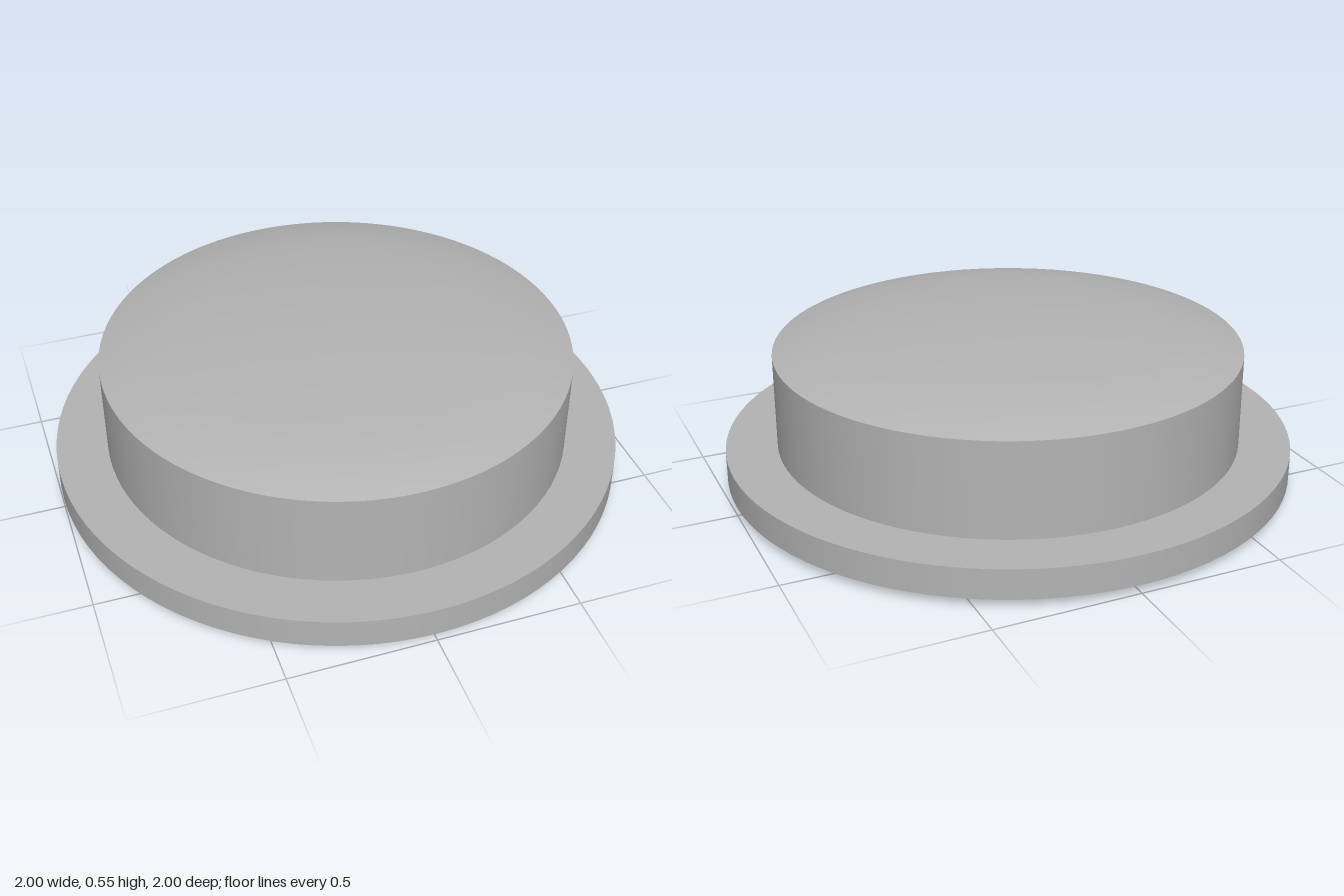
import * as THREE from 'three';

export function createModel() {
  const group = new THREE.Group();
  const grey = new THREE.MeshStandardMaterial({ color: 0xb4b4b4 });
  grey.name = 'grey';
  const segments = 96;

  function add(name, geometry, y = 0) {
    const mesh = new THREE.Mesh(geometry, grey);
    mesh.name = name;
    mesh.position.y = y;
    group.add(mesh);
  }

  // Upright disc standing between two heights
  function disc(name, radius, bottom, top, open = false) {
    const height = top - bottom;
    add(name, new THREE.CylinderGeometry(radius, radius, height, segments, 1, open), bottom + height / 2);
  }

  // Small locating foot, wide flange and the drum wall
  disc('foot', 0.165, 0, 0.035);
  disc('flange', 1, 0.03, 0.135);
  disc('drum', 0.82, 0.13, 0.47, true);

  // Shallow dome with a sloped rim
  const profile = [
    [0.82, 0.47], [0.69, 0.507], [0.55, 0.522], [0.41, 0.533],
    [0.27, 0.541], [0.13, 0.545], [0, 0.547],
  ].map(([r, y]) => new THREE.Vector2(r, y));
  add('dome', new THREE.LatheGeometry(profile, segments));

  return group;
}
